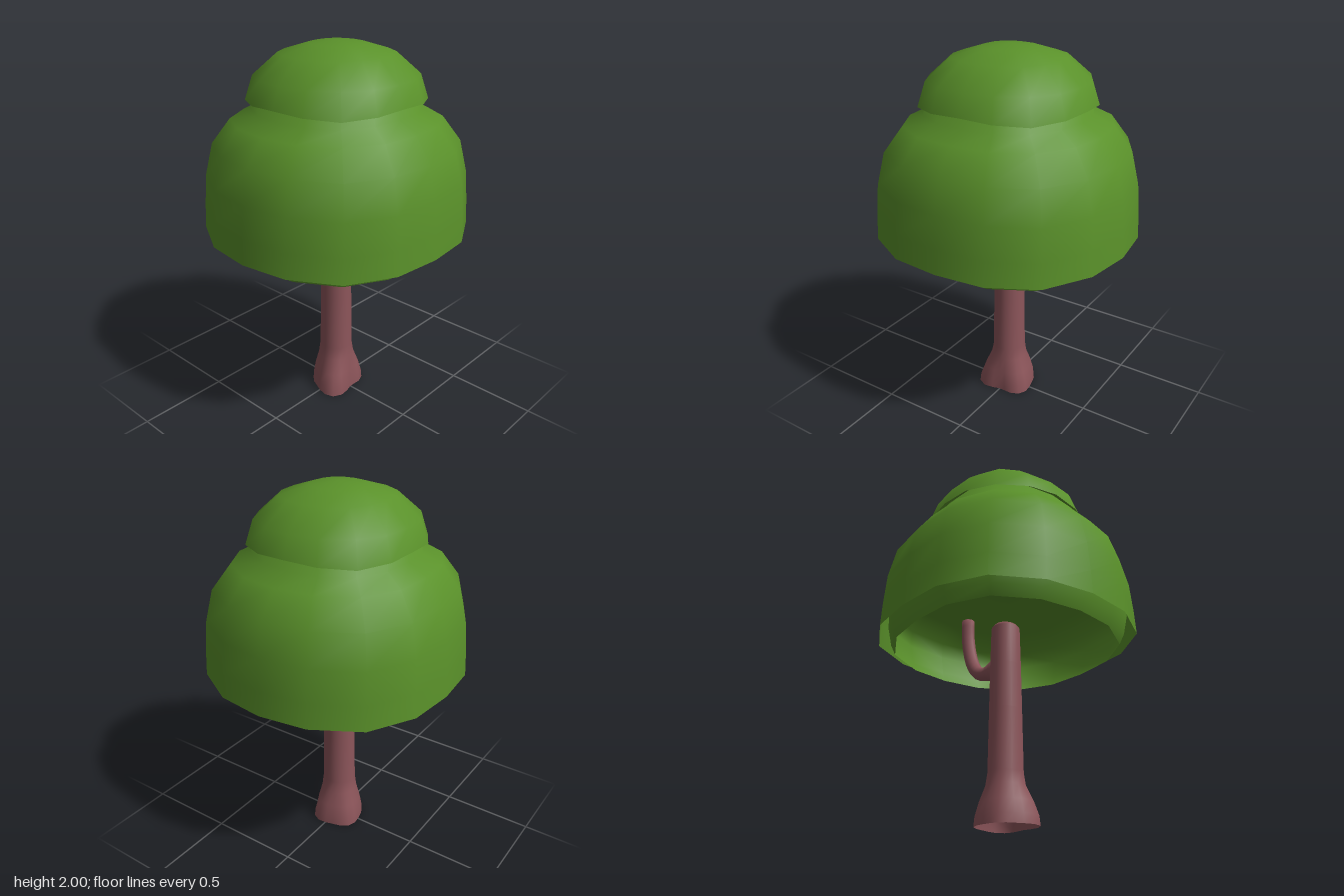
import * as THREE from 'three';
import { mergeVertices } from 'three/addons/utils/BufferGeometryUtils.js';

const leafMat = new THREE.MeshStandardMaterial({ color: 0x5a912a, side: THREE.DoubleSide });
const barkMat = new THREE.MeshStandardMaterial({ color: 0x8c555a, side: THREE.DoubleSide });

// Smooth skin over rings stacked from bottom to top; point(row, angle) gives [x, y, z]
function loft(rows, sides, point) {
  const pos = [], index = [];
  for (const row of rows)
    for (let i = 0; i < sides; i++) pos.push(...point(row, (i / sides) * Math.PI * 2));
  for (let r = 0; r < rows.length - 1; r++)
    for (let i = 0; i < sides; i++) {
      const a = r * sides + i, b = r * sides + (i + 1) % sides, c = b + sides, d = a + sides;
      index.push(a, b, c);
      if (rows[r + 1][1] > 0) index.push(a, c, d);
    }
  let g = new THREE.BufferGeometry();
  g.setAttribute('position', new THREE.Float32BufferAttribute(pos, 3));
  g.setIndex(index);
  g = mergeVertices(g, 1e-5);
  g.computeVertexNormals();
  return g;
}

function part(name, geometry, material) {
  const m = new THREE.Mesh(geometry, material);
  m.name = name;
  return m;
}

// Open-bottomed leaf dome with a softly squared plan; rows are [y, radius], corners of the rim droop
function leafDome(name, rows, droop = 0) {
  return part(name, loft(rows, 16, ([y, r], a) => {
    const corner = Math.sin(2 * a) ** 2;
    const k = r * (1 + 0.05 * corner);
    const dy = y === rows[0][0] ? -droop * corner : 0;
    return [k * Math.cos(a), y + dy, -(0.97 + 0.03 * corner) * k * Math.sin(a)];
  }), leafMat);
}

export function createModel() {
  const tree = new THREE.Group();
  tree.name = 'tree';

  // Canopy: big shell running up into a neck, shallow shell tucked under it, and the cap on top
  const canopy = new THREE.Group();
  canopy.name = 'canopy';
  canopy.add(
    leafDome('lowerCanopy', [[1.01, 0.675], [1.14, 0.669], [1.31, 0.655], [1.48, 0.615],
      [1.61, 0.52], [1.663, 0.418], [1.74, 0.41], [1.81, 0.3], [1.84, 0]]),
    leafDome('lowerCanopyUnderside', [[0.953, 0.585], [1.01, 0.61], [1.12, 0.632], [1.21, 0.622],
      [1.29, 0.52], [1.335, 0.3], [1.35, 0]]),
    leafDome('upperCanopy', [[1.722, 0.443], [1.83, 0.403], [1.94, 0.282], [1.985, 0.14], [2, 0]], 0.018),
  );
  tree.add(canopy);

  // Root lobes as [x, z] reach at the ground
  const roots = [[-0.145, 0.095], [0.14, 0.07], [0.09, -0.125], [-0.09, -0.1]]
    .map(([x, z]) => ({ angle: Math.atan2(-z, x), reach: Math.hypot(x, z) - 0.1 }));

  // Trunk rows: [y, radius, root strength]
  const trunkRows = [[0, 0.1, 1], [0.05, 0.1, 0.92], [0.12, 0.098, 0.6], [0.2, 0.094, 0.12],
    [0.27, 0.09, 0], [0.6, 0.085, 0], [0.85, 0.081, 0], [1.07, 0.076, 0], [1.09, 0.06, 0], [1.092, 0, 0]];
  const trunk = loft(trunkRows, 20, ([y, r, strength], a) => {
    let k = r;
    for (const { angle, reach } of roots)
      k += strength * reach * Math.max(0, Math.cos(a - angle)) ** 4;
    return [k * Math.cos(a) - 0.004, y, -k * 1.03 * Math.sin(a) - 0.003];
  });
  tree.add(part('trunk', trunk, barkMat));

  // Branch: flares out of the trunk, then curves up under the leaves
  const path = new THREE.CatmullRomCurve3([[0.02, 0.85], [0.09, 0.857], [0.18, 0.865], [0.255, 0.9],
    [0.31, 0.98], [0.35, 1.12], [0.36, 1.26]].map(([x, y]) => new THREE.Vector3(x, y, 0)));
  const steps = 16;
  const branchRows = [];
  for (let i = 0; i <= steps; i++) {
    const t = i / steps;
    branchRows.push([t, 0.038 + 0.075 * Math.max(0, 1 - t / 0.24) ** 1.5]);
  }
  branchRows.push([1, 0]);
  const branch = loft(branchRows, 8, ([t, r], a) => {
    const p = path.getPointAt(t), d = path.getTangentAt(t);
    return [p.x + r * d.y * Math.cos(a), p.y - r * d.x * Math.cos(a), -Math.min(r, 0.05) * Math.sin(a)];
  });
  tree.add(part('branch', branch, barkMat));

  return tree;
}
